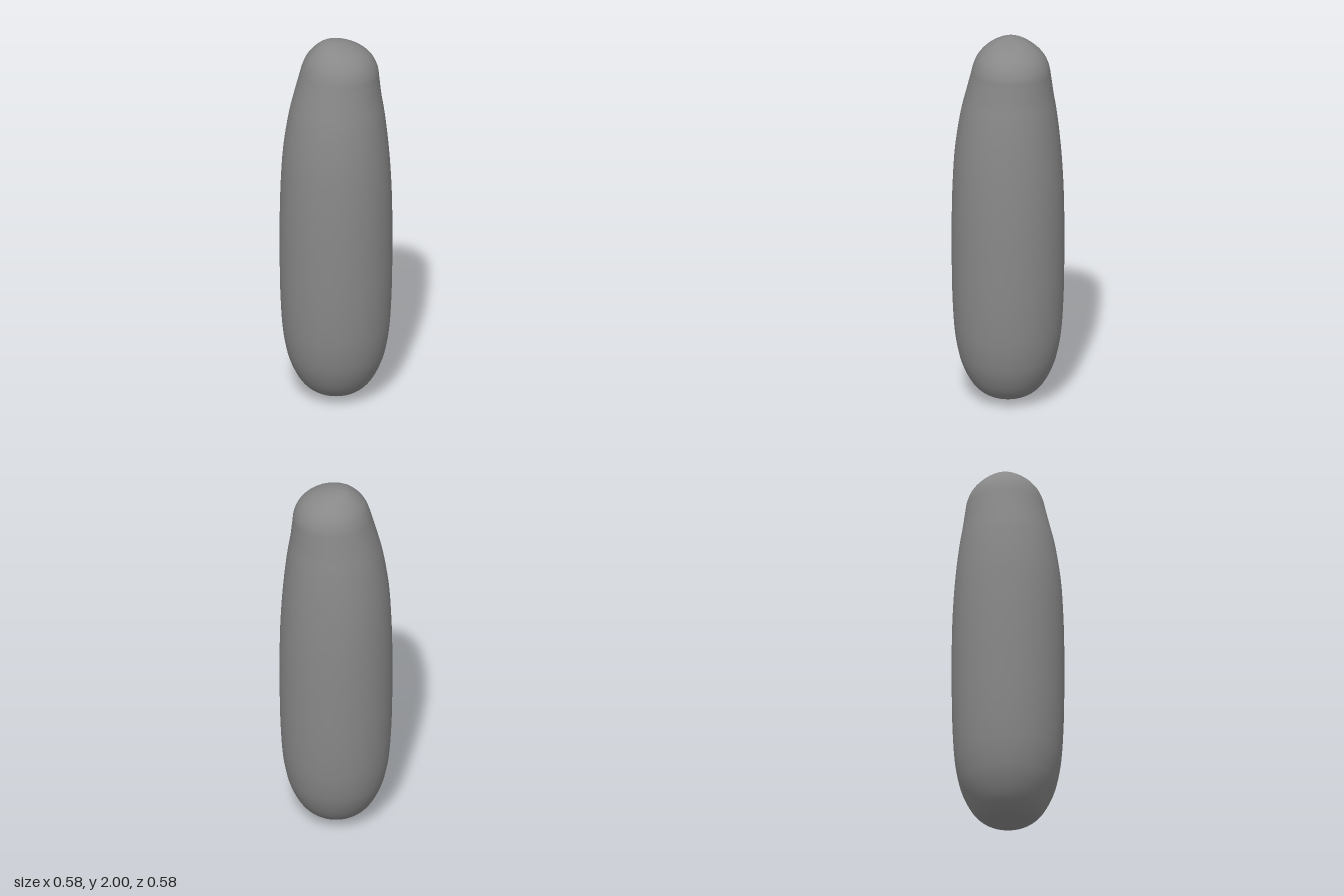
import * as THREE from 'three';
import { mergeVertices } from 'three/addons/utils/BufferGeometryUtils.js';

// Sections from bottom to top: [height, radius, centre x, centre z]
const SECTIONS = [
  [0, 0, 0, 0], [0.02, 0.07, 0, 0], [0.05, 0.135, 0, 0], [0.1, 0.185, 0, 0],
  [0.2, 0.236, 0, 0], [0.3, 0.262, 0, 0], [0.4, 0.276, 0, 0], [0.6, 0.287, 0, 0],
  [0.8, 0.29, 0, 0], [1.0, 0.29, 0, 0], [1.2, 0.285, 0, 0], [1.4, 0.272, 0, 0],
  [1.6, 0.246, 0.001, -0.005], [1.7, 0.226, 0.002, -0.01], [1.8, 0.207, 0.005, -0.018],
  [1.85, 0.197, 0.007, -0.021], [1.9, 0.176, 0.006, -0.02], [1.94, 0.143, 0.003, -0.017],
  [1.97, 0.102, -0.005, -0.012], [1.99, 0.056, -0.018, -0.006], [2, 0, -0.03, 0],
];

export function createModel() {
  const group = new THREE.Group();
  const profile = new THREE.CatmullRomCurve3(
    SECTIONS.map(([y, r]) => new THREE.Vector3(r, y, 0)), false, 'centripetal');
  const centres = new THREE.CatmullRomCurve3(
    SECTIONS.map(([, , x, z]) => new THREE.Vector3(x, 0, z)), false, 'catmullrom');

  // Round body as a turned profile
  const steps = (SECTIONS.length - 1) * 4;
  const points = profile.getPoints(steps).map(
    (p) => new THREE.Vector2(Math.max(p.x, 0), THREE.MathUtils.clamp(p.y, 0, 2)));
  let geometry = new THREE.LatheGeometry(points, 72);

  // Shift each ring so the head sits slightly off the axis
  const shifts = centres.getPoints(steps);
  const pos = geometry.attributes.position;
  for (let i = 0; i < pos.count; i++) {
    const s = shifts[i % points.length];
    pos.setX(i, pos.getX(i) + s.x);
    pos.setZ(i, pos.getZ(i) + s.z);
  }

  // Weld the seam for continuous smooth normals
  geometry.deleteAttribute('uv');
  geometry.deleteAttribute('normal');
  geometry = mergeVertices(geometry, 1e-5);
  geometry.computeVertexNormals();

  const body = new THREE.Mesh(geometry, new THREE.MeshStandardMaterial({ color: 0x888888 }));
  body.name = 'body';
  group.add(body);
  return group;
}
